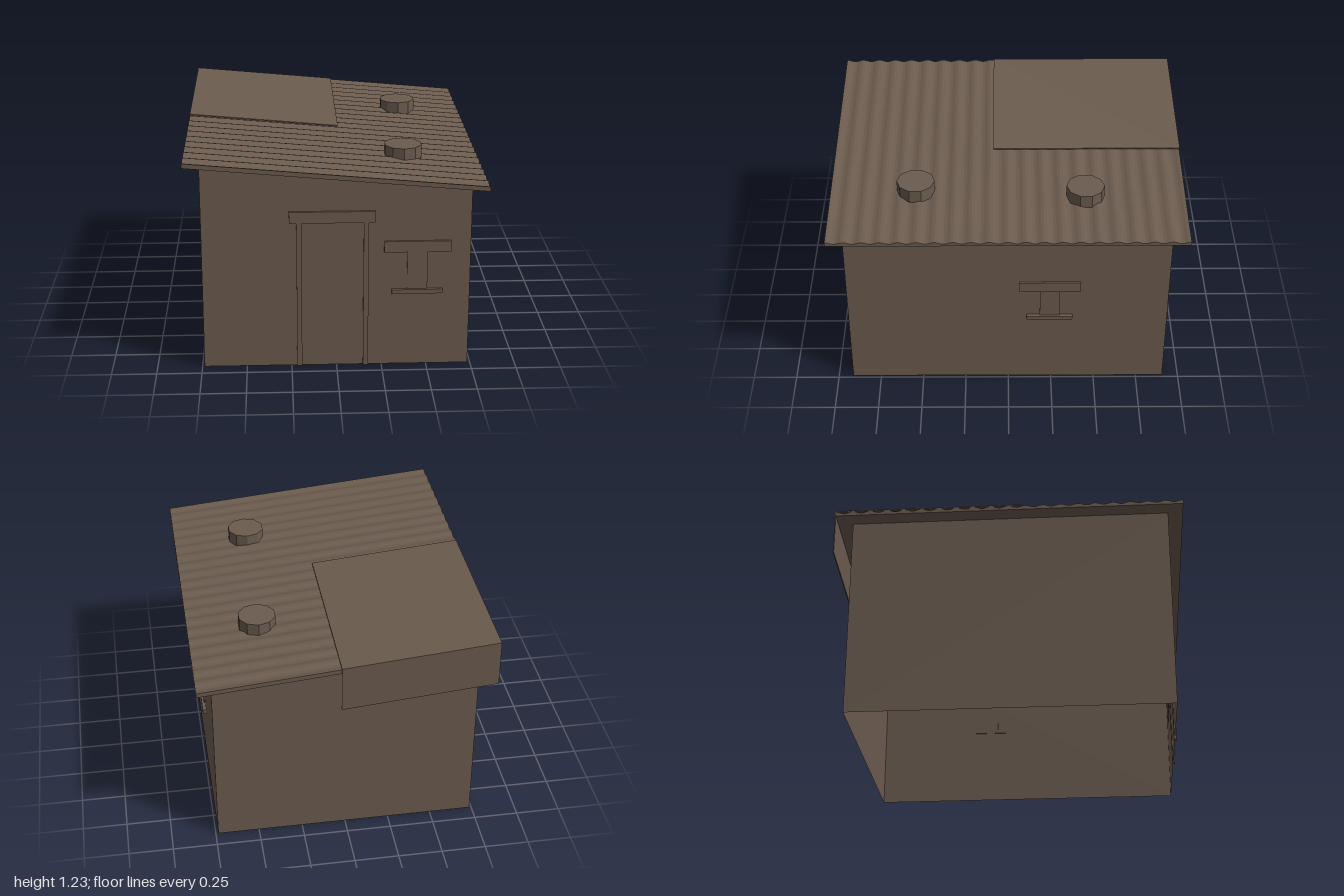
import * as THREE from 'three';

const SLOPE = -0.0912;
// Height of the roof underside at a given x
const roofY = (x) => 1.12 + SLOPE * x;

export function createModel() {
  const group = new THREE.Group();
  const brown = new THREE.MeshStandardMaterial({ color: 0x6b5b4e });
  brown.name = 'weathered brown';
  const brownSheet = brown;
  brownSheet.side = THREE.DoubleSide;
  brown.flatShading = true;

  const add = (name, geometry, parent = group) => {
    const mesh = new THREE.Mesh(geometry, brown);
    mesh.name = name;
    parent.add(mesh);
    return mesh;
  };

  // Box given by its limits on each axis
  const box = (x0, x1, y0, y1, z0, z1) =>
    new THREE.BoxGeometry(x1 - x0, y1 - y0, z1 - z0)
      .translate((x0 + x1) / 2, (y0 + y1) / 2, (z0 + z1) / 2);

  // Tilts a geometry so that its y is measured from the roof underside
  const tilt = (geometry) => {
    const p = geometry.attributes.position;
    for (let i = 0; i < p.count; i++) p.setY(i, p.getY(i) + roofY(p.getX(i)));
    geometry.computeVertexNormals();
    return geometry;
  };

  // Walls: four thin sheets, open at the bottom, tops following the roof
  const L = -0.738, R = 0.735, B = -0.908, F = 0.915;
  const corners = [[L, F], [R, F], [R, B], [L, B]];
  ['frontWall', 'rightSideWall', 'backWall', 'leftSideWall'].forEach((name, i) => {
    const [ax, az] = corners[i];
    const [bx, bz] = corners[(i + 1) % 4];
    const g = new THREE.BufferGeometry();
    g.setAttribute('position', new THREE.Float32BufferAttribute([
      ax, 0, az, bx, 0, bz, bx, roofY(bx), bz, ax, roofY(ax), az], 3));
    g.setIndex([0, 1, 2, 0, 2, 3]);
    g.computeVertexNormals();
    add(name, g);
  });

  // Corrugated roof: wavy profile along z, extruded across x and tilted
  const ridges = 20, steps = 6, zBack = -0.996, zFront = 1;
  const profile = new THREE.Shape();
  profile.moveTo(-zFront, 0);
  profile.lineTo(-zBack, 0);
  for (let i = ridges * steps; i >= 0; i--) {
    const t = i / (ridges * steps);
    const wave = Math.cos(t * ridges * Math.PI * 2);
    profile.lineTo(-zFront + t * (zFront - zBack), 0.02 + 0.006 * wave);
  }
  const roof = new THREE.ExtrudeGeometry(profile, { depth: 1.645, bevelEnabled: false });
  roof.rotateY(Math.PI / 2).translate(-0.825, 0, 0);
  add('corrugatedRoof', tilt(roof));

  // Flat cover sheet on the roof, folded down over the back
  const cover = new THREE.Group();
  cover.name = 'roofCover';
  group.add(cover);
  add('coverTop', tilt(box(-0.825, 0.04, 0.025, 0.032, -1, 0.085)), cover);
  add('coverBackFlap', tilt(box(-0.825, 0.04, -0.238, 0.032, -1, -0.994)), cover);

  // Round roof vents
  for (const [x, z, top] of [[0.387, 0.52, 1.17], [0.43, -0.435, 1.165]]) {
    const vent = add('roofVent', new THREE.CylinderGeometry(0.107, 0.107, 0.075, 10));
    vent.position.set(x, top - 0.0375, z);
  }

  // Door frame: lintel and two posts
  const door = new THREE.Group();
  door.name = 'doorFrame';
  group.add(door);
  add('doorLintel', box(-0.26, 0.21, 0.85, 0.915, F - 0.005, F + 0.014), door);
  for (const x of [-0.22, 0.147]) {
    add('doorPost', box(x, x + 0.028, 0, 0.85, F - 0.005, F + 0.01), door);
  }

  // Window, built facing +z around its own centre line
  const makeWindow = (name, lintelW, lintelY, sillW, sillY) => {
    const w = new THREE.Group();
    w.name = name;
    add('windowLintel', box(-lintelW / 2, lintelW / 2, lintelY, lintelY + 0.063, -0.005, 0.013), w);
    add('windowPanel', box(-0.056, 0.056, sillY + 0.02, lintelY, -0.005, 0.007), w);
    add('windowSill', box(-sillW / 2, sillW / 2, sillY, sillY + 0.024, -0.005, 0.02), w);
    group.add(w);
    return w;
  };
  makeWindow('frontWindow', 0.367, 0.675, 0.28, 0.432).position.set(0.443, 0, F);
  const side = makeWindow('sideWindow', 0.347, 0.657, 0.26, 0.455);
  side.position.set(R, 0, -0.235);
  side.rotation.y = Math.PI / 2;

  return group;
}
